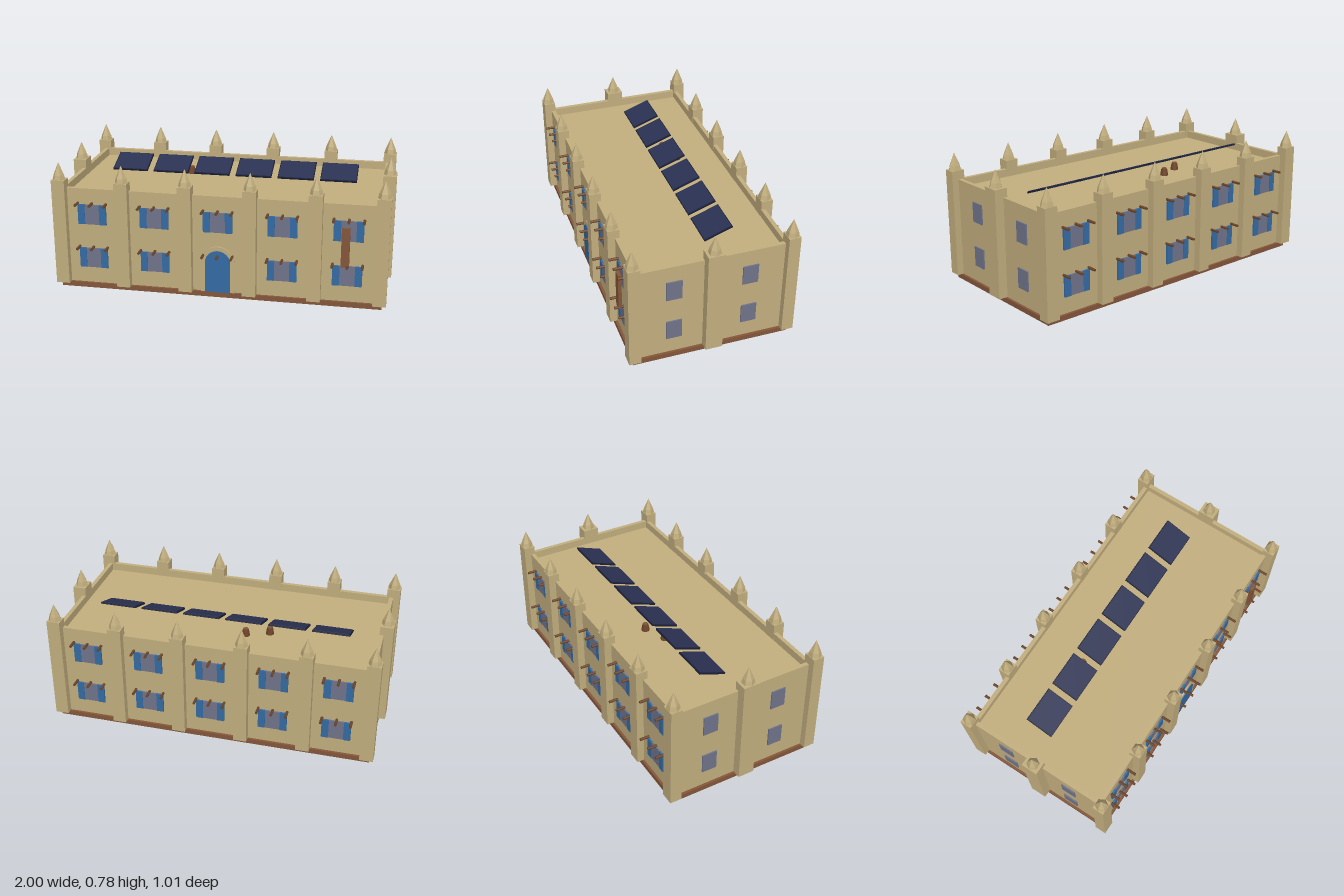
import * as THREE from 'three';

const mat = (name, color) => {
  const m = new THREE.MeshStandardMaterial({ color });
  m.name = name;
  return m;
};

export function createModel() {
  const M = {
    stone: mat('sandstone', 0xc2ae7e),
    brick: mat('brick base', 0x84563a),
    wood: mat('dark wood', 0x6e4529),
    blue: mat('blue paint', 0x346ba4),
    glass: mat('grey glass', 0x70748a),
    panel: mat('solar cell', 0x2b3152),
    frame: mat('panel frame', 0x1b2038),
  };
  const root = new THREE.Group();
  root.name = 'building';

  const add = (parent, name, geo, material, x = 0, y = 0, z = 0) => {
    const m = new THREE.Mesh(geo, material);
    m.name = name;
    m.position.set(x, y, z);
    parent.add(m);
    return m;
  };
  const box = (parent, name, material, w, h, d, x, y, z) =>
    add(parent, name, new THREE.BoxGeometry(w, h, d), material, x, y, z);

  // Plinth, walls up to the roof deck, and parapet
  const W = 0.945, D = 0.447, DECK = 0.575, TOP = 0.622;
  box(root, 'plinth', M.brick, 1.92, 0.03, 0.924, 0, 0.015, 0);
  box(root, 'walls', M.stone, 2 * W, DECK - 0.03, 2 * D, 0, (DECK + 0.03) / 2, 0);
  const rim = new THREE.Shape([[-W, -D], [W, -D], [W, D], [-W, D]].map(p => new THREE.Vector2(...p)));
  const w = W - 0.025, d = D - 0.025;
  rim.holes.push(new THREE.Path([[-w, -d], [-w, d], [w, d], [w, -d]].map(p => new THREE.Vector2(...p))));
  const parapet = new THREE.ExtrudeGeometry(rim, { depth: TOP - DECK, bevelEnabled: false });
  add(root, 'parapet', parapet.rotateX(-Math.PI / 2), M.stone, 0, DECK, 0);

  // Buttress towers with six-sided spires
  const spireGeo = new THREE.LatheGeometry(
    [[0.039, 0], [0.032, 0.03], [0, 0.105]].map(p => new THREE.Vector2(...p)), 6)
    .rotateY(Math.PI / 6).toNonIndexed();
  spireGeo.computeVertexNormals();
  const tower = (x, z, tw, td) => {
    const g = new THREE.Group();
    g.name = 'tower';
    g.position.set(x, 0, z);
    root.add(g);
    box(g, 'towerShaft', M.stone, tw, 0.645, td, 0, 0.3525, 0);
    add(g, 'spire', spireGeo, M.stone, 0, 0.673, 0);
  };
  for (const s of [-1, 1]) {
    for (const x of [-0.945, -0.567, -0.19, 0.19, 0.567, 0.945]) tower(x, s * 0.456, 0.08, 0.07);
    tower(s * 0.96, 0, 0.08, 0.1);
  }

  // Long sides: shuttered windows with three projecting beams above each
  const beamGeo = new THREE.CylinderGeometry(0.008, 0.008, 0.065, 8).rotateX(Math.PI / 2);
  const facade = (name, hasDoor) => {
    const g = new THREE.Group();
    g.name = name;
    root.add(g);
    for (const x of [-0.755, -0.378, 0, 0.378, 0.755]) {
      for (const y of [0.191, 0.464]) {
        for (const o of [-0.086, 0, 0.086]) add(g, 'beam', beamGeo, M.wood, x + o, y + 0.068, 0.472);
        if (hasDoor && x === 0 && y < 0.3) continue;
        box(g, 'windowGlass', M.glass, 0.088, 0.122, 0.009, x, y, D + 0.004);
        for (const s of [-1, 1])
          box(g, 'shutter', M.blue, 0.042, 0.122, 0.013, x + s * 0.065, y, D + 0.005);
      }
    }
    return g;
  };
  const front = facade('frontFacade', true);
  facade('backFacade', false).rotation.y = Math.PI;

  // Arched door and its surround
  const arch = (r, depth) => {
    const s = new THREE.Shape();
    s.moveTo(-r, 0);
    s.lineTo(r, 0);
    s.lineTo(r, 0.185);
    s.absarc(0, 0.185, r, 0, Math.PI, false);
    s.lineTo(-r, 0);
    return new THREE.ExtrudeGeometry(s, { depth, bevelEnabled: false, curveSegments: 12 });
  };
  add(front, 'doorSurround', arch(0.1, 0.01), M.stone, 0, 0.03, D);
  add(front, 'door', arch(0.075, 0.015), M.blue, 0, 0.03, D);

  // Hanging wooden board
  box(front, 'hangingBoard', M.brick, 0.048, 0.235, 0.02, 0.741, 0.372, 0.472);

  // Plain windows on the short sides
  for (const s of [-1, 1]) for (const z of [-0.221, 0.221]) for (const y of [0.191, 0.464])
    box(root, 'sideWindow', M.glass, 0.016, 0.12, 0.091, s * W, y, z);

  // Tilted row of solar panels
  for (let i = 0; i < 6; i++) {
    const g = new THREE.Group();
    g.name = 'solarPanel';
    g.position.set(-0.653 + i * 0.261, 0.637, -0.099);
    g.rotation.x = 0.35;
    root.add(g);
    box(g, 'panelFrame', M.frame, 0.222, 0.01, 0.176, 0, 0, 0);
    box(g, 'panelCells', M.panel, 0.212, 0.004, 0.166, 0, 0.006, 0);
  }

  // Roof vents
  for (const [x, z] of [[-0.145, -0.175], [-0.28, -0.122]]) {
    add(root, 'vent', new THREE.CylinderGeometry(0.018, 0.025, 0.04, 10), M.wood, x, DECK + 0.02, z);
    add(root, 'ventCap', new THREE.CylinderGeometry(0.014, 0.014, 0.01, 10), M.brick, x, DECK + 0.042, z);
  }
  return root;
}
